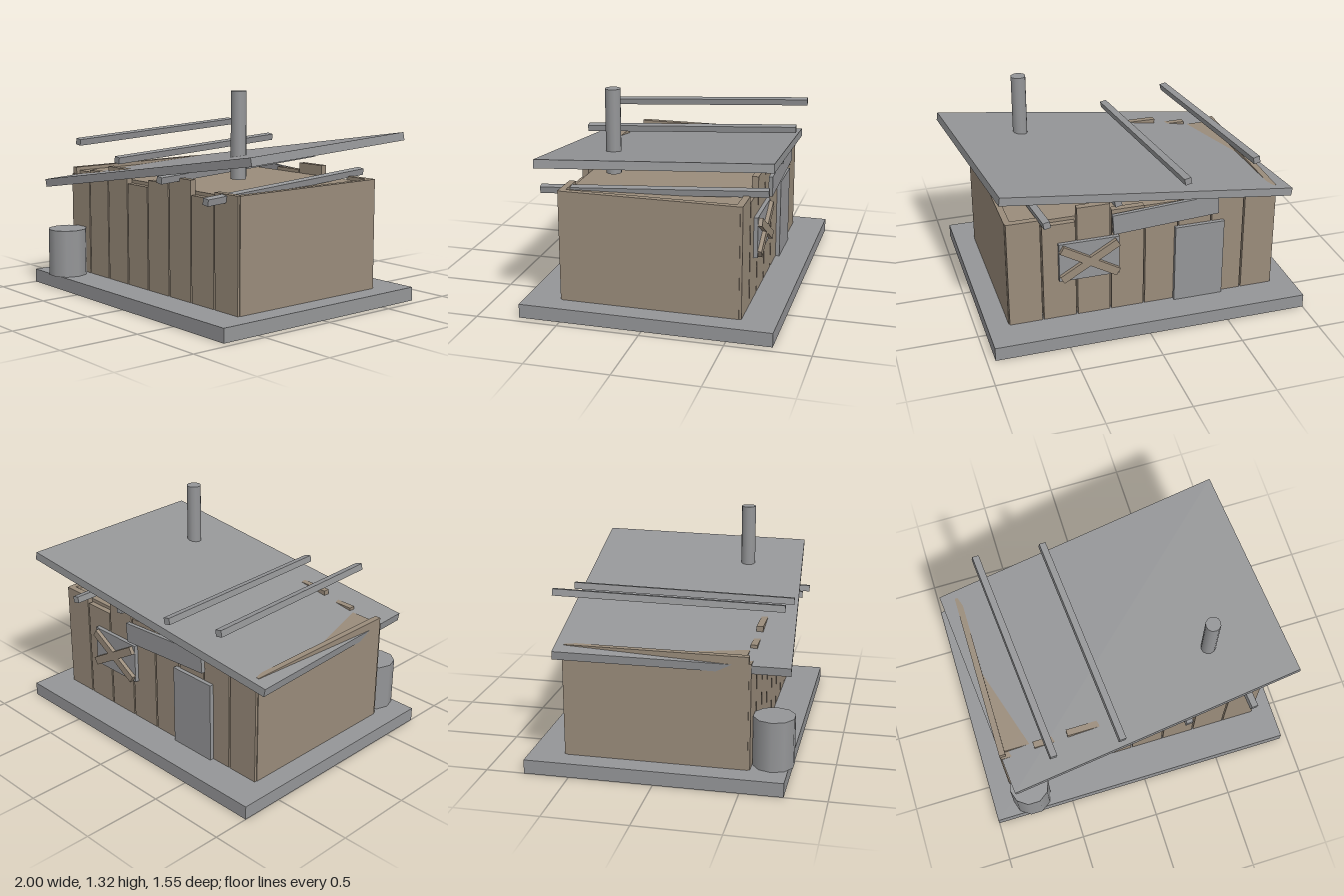
import * as THREE from 'three';

export function createModel() {
  const model = new THREE.Group();
  model.name = 'shack';

  const grey = new THREE.MeshStandardMaterial({ color: 0x959698 });
  grey.name = 'weathered grey';
  const wood = new THREE.MeshStandardMaterial({ color: 0x9a8c7b });
  wood.name = 'dusty wood';

  function add(name, geometry, material, x, y, z, parent = model) {
    const mesh = new THREE.Mesh(geometry, material);
    mesh.name = name;
    mesh.position.set(x, y, z);
    parent.add(mesh);
    return mesh;
  }

  // Box given by its lower and upper limits on each axis
  function block(name, material, [x0, x1], [y0, y1], [z0, z1], parent = model) {
    return add(name, new THREE.BoxGeometry(x1 - x0, y1 - y0, z1 - z0), material,
      (x0 + x1) / 2, (y0 + y1) / 2, (z0 + z1) / 2, parent);
  }

  // Turn a mesh so its local x and z follow two given directions
  function orient(mesh, xDir, zDir) {
    const z = zDir.clone().normalize();
    const y = new THREE.Vector3().crossVectors(z, xDir).normalize();
    const x = new THREE.Vector3().crossVectors(y, z);
    mesh.quaternion.setFromRotationMatrix(new THREE.Matrix4().makeBasis(x, y, z));
    return y;
  }

  const ground = 0.085;
  block('foundation', grey, [-1, 0.95], [0, ground], [-0.77, 0.752]);

  // Walls: solid core, two plain sides, uneven planks front and back
  const walls = new THREE.Group();
  walls.name = 'walls';
  model.add(walls);
  block('wallCore', wood, [-0.835, 0.785], [0.107, 0.743], [-0.525, 0.5], walls);
  block('sideWallRight', wood, [-0.87, -0.832], [ground, 0.765], [-0.545, 0.525], walls);
  block('sideWallLeft', wood, [0.782, 0.82], [ground, 0.765], [-0.545, 0.525], walls);
  const pitch = 1.69 / 8;
  const tops = [0.722, 0.765, 0.81];
  for (let i = 0; i < 8; i++) {
    const x0 = -0.87 + pitch * i + 0.005;
    const span = [x0, x0 + 0.201];
    block('frontPlank', wood, span, [ground, tops[i % 3]], [0.498, 0.538], walls);
    block('backPlank', wood, span, [ground, tops[i % 3]], [-0.56, -0.52], walls);
  }

  // Crooked roof sheet
  const roofX = new THREE.Vector3(1.835, 0.295, -0.15);
  const roofZ = new THREE.Vector3(0.12, -0.045, 1.347);
  const roof = add('roof', new THREE.BoxGeometry(1.865, 0.05, 1.353), grey, 0.017, 0.875, 0.0085);
  roof.position.addScaledVector(orient(roof, roofX, roofZ), -0.025);

  // Roof beams stepping down against the slope of the sheet
  for (let i = 0; i < 4; i++) {
    const beam = add('roofBeam', new THREE.BoxGeometry(0.042, 0.04, 1.352), grey,
      -0.62 + 0.424 * i, 0.99 - 0.077 * i, 0.008);
    orient(beam, new THREE.Vector3(0.424, -0.075, -0.035), new THREE.Vector3(0.112, -0.052, 1.345));
  }

  add('chimney', new THREE.CylinderGeometry(0.046, 0.046, 0.51, 12), grey, 0.526, 1.065, 0.287);

  const barrel = add('barrel', new THREE.CylinderGeometry(0.124, 0.124, 0.3, 10), grey, -0.747, 0.235, 0.658);
  barrel.rotation.y = Math.PI / 2;

  // Back wall: door, boarded window and crooked sign board
  block('door', grey, [-0.525, -0.213], [ground, 0.592], [-0.585, -0.555]);
  block('windowPanel', grey, [0.14, 0.51], [0.347, 0.597], [-0.585, -0.555]);
  for (const side of [-1, 1]) {
    const board = add('windowBoard', new THREE.BoxGeometry(0.4, 0.05, 0.025), wood,
      0.325, 0.468, -0.597);
    board.rotation.z = side * 0.53;
  }
  const sign = add('signBoard', new THREE.BoxGeometry(0.66, 0.125, 0.025), grey, -0.145, 0.706, -0.593);
  sign.rotation.z = -0.06;

  return model;
}
